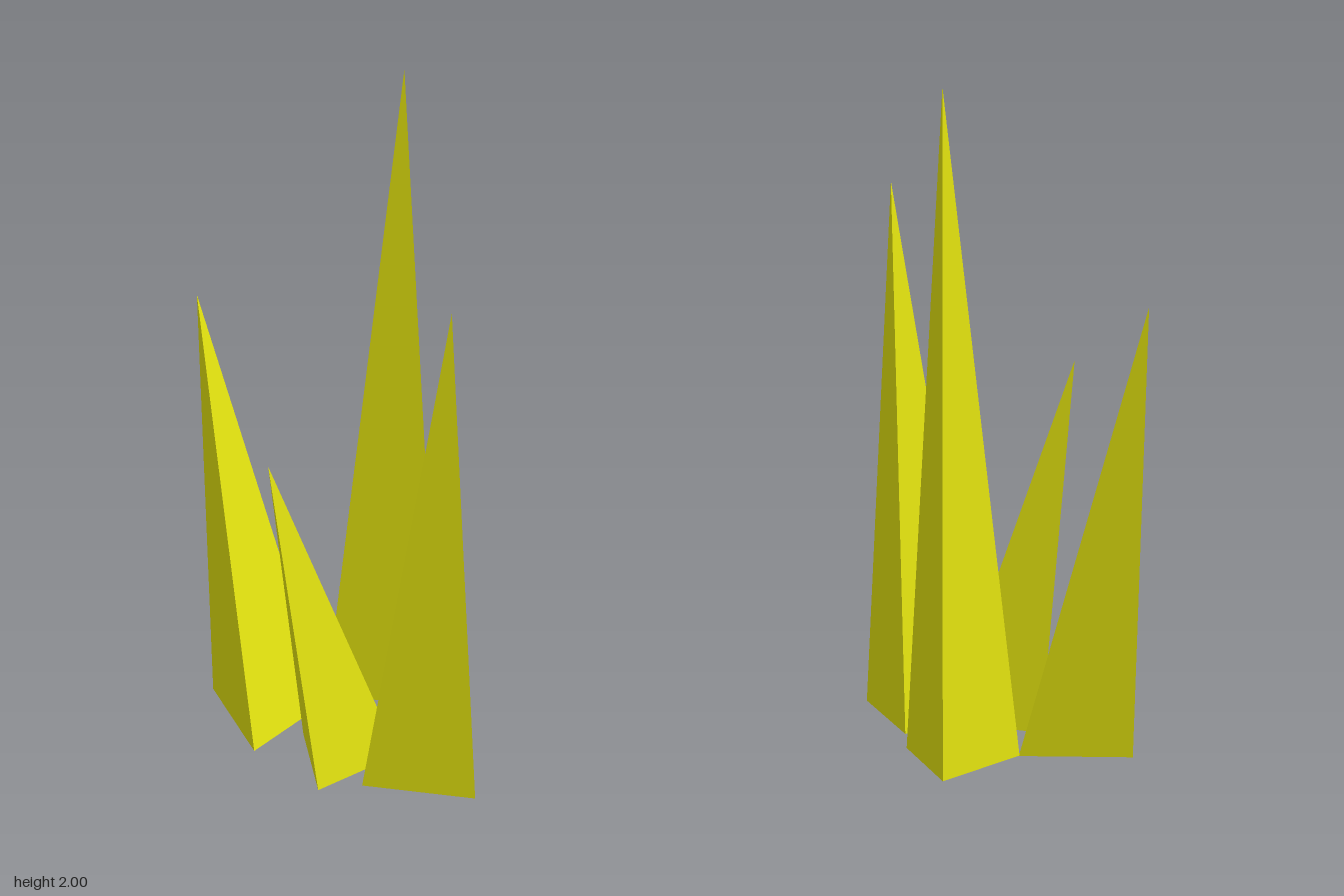
import * as THREE from 'three';
import { ConvexGeometry } from 'three/addons/geometries/ConvexGeometry.js';

// Each blade: three base corners and a leaning tip
const BLADES = [
  { name: 'tallBlade', base: [[0.05, 0.01, -0.18], [0.365, 0.01, -0.155], [0.187, 0.01, 0.11]], tip: [0.283, 2, -0.09] },
  { name: 'frontBlade', base: [[-0.243, 0.005, 0.185], [0.077, 0.005, 0.2], [-0.097, 0.005, 0.47]], tip: [-0.06, 1.55, 0.357] },
  { name: 'backBlade', base: [[-0.29, 0, -0.162], [0.03, 0, -0.162], [-0.13, 0.01, -0.438]], tip: [-0.16, 1.32, -0.472] },
  { name: 'shortBlade', base: [[-0.344, 0.01, 0.11], [-0.15, 0.01, -0.1], [-0.064, 0.01, 0.17]], tip: [-0.367, 1.03, -0.05] },
];

export function createModel() {
  const group = new THREE.Group();
  group.name = 'grassTuft';
  const yellow = new THREE.MeshStandardMaterial({ color: 0xe4e40f });
  yellow.name = 'yellow';

  // Closed three-sided spikes with flat faces
  for (const { name, base, tip } of BLADES) {
    const corners = [...base, tip].map((p) => new THREE.Vector3(...p));
    const blade = new THREE.Mesh(new ConvexGeometry(corners), yellow);
    blade.name = name;
    group.add(blade);
  }
  return group;
}
